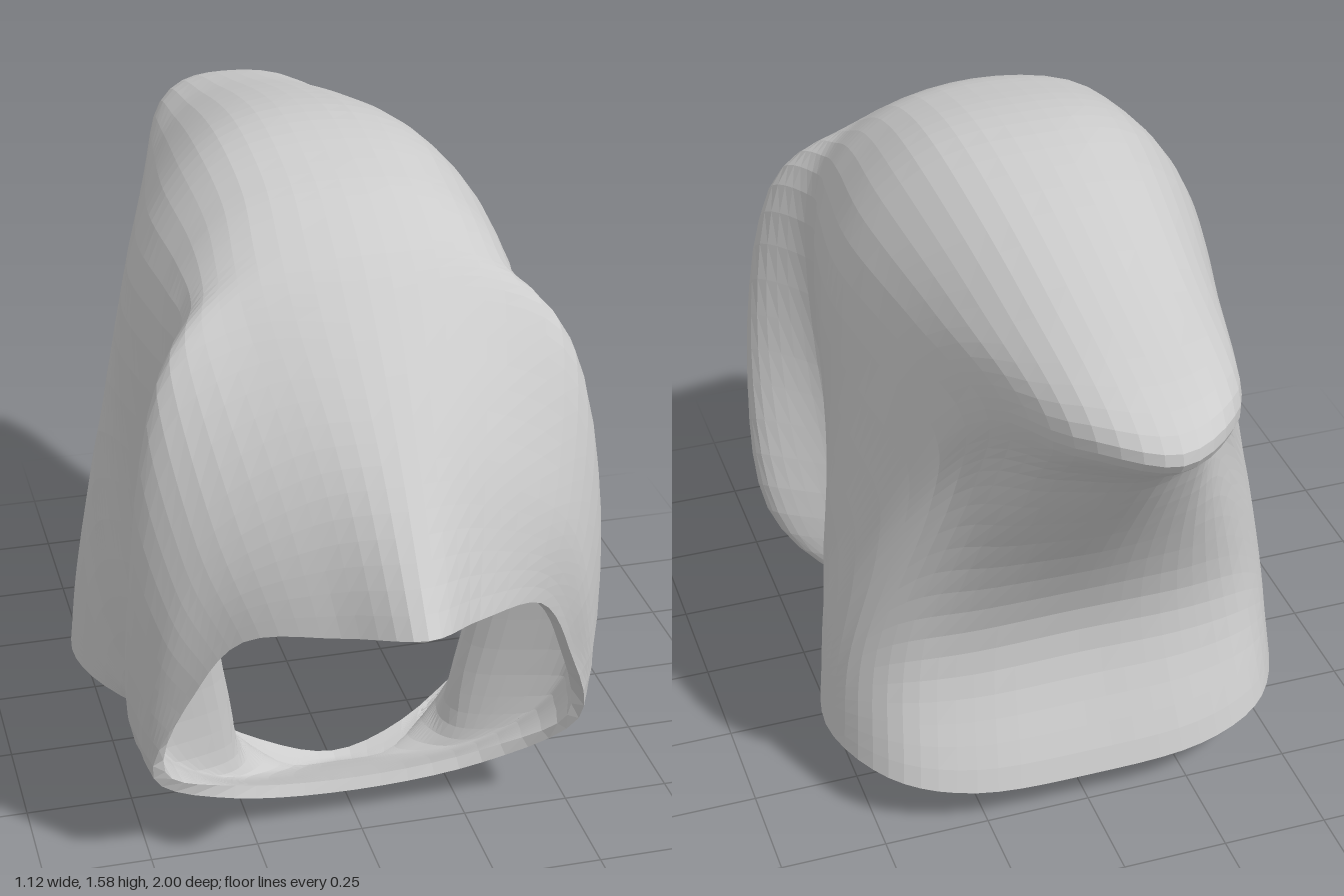
import * as THREE from 'three';

const STEPS = 70; // rings from the face opening to the neck opening
const AROUND = 60; // points in each ring
const THICKNESS = 0.03;

const rail = (points) =>
  new THREE.CatmullRomCurve3(points.map((p) => new THREE.Vector3(...p)), false, 'catmullrom', 0.5);

// Rails run from the face rim, over the hood and its pointed back, to the neck rim.
const crown = rail([
  [0, 0.82, 1], [0, 1.11, 0.77], [0, 1.335, 0.56], [0, 1.47, 0.4], [0, 1.545, 0.22], [0, 1.578, -0.1],
  [0, 1.475, -0.56], [0, 1.32, -1], [0, 1.09, -0.785], [0, 0.52, -0.43], [0, 0.1, -0.525],
]);
const brow = rail([
  [0.15, 0.77, 0.87], [0.2, 1.07, 0.72], [0.26, 1.33, 0.5], [0.26, 1.42, 0.38], [0.25, 1.49, 0.22], [0.25, 1.515, -0.06],
  [0.21, 1.42, -0.5], [0.18, 1.31, -0.86], [0.17, 1.06, -0.69], [0.24, 0.51, -0.42], [0.28, 0.11, -0.515],
]);
const temple = rail([
  [0.33, 0.71, 0.74], [0.41, 0.91, 0.67], [0.46, 1.2, 0.52], [0.39, 1.24, 0.38], [0.405, 1.25, 0.26], [0.425, 1.25, 0.02],
  [0.37, 1.22, -0.26], [0.3, 1.16, -0.5], [0.31, 0.93, -0.46], [0.43, 0.47, -0.36], [0.47, 0.14, -0.43],
]);
const cheek = rail([
  [0.43, 0.53, 0.66], [0.495, 0.62, 0.62], [0.53, 0.77, 0.51], [0.375, 0.75, 0.39], [0.41, 0.76, 0.27], [0.455, 0.75, 0.08],
  [0.49, 0.7, -0.07], [0.5, 0.62, -0.17], [0.52, 0.5, -0.21], [0.545, 0.32, -0.21], [0.56, 0.15, -0.21],
]);
const jaw = rail([
  [0.5, 0.27, 0.56], [0.515, 0.3, 0.51], [0.505, 0.32, 0.43], [0.31, 0.3, 0.33], [0.36, 0.3, 0.23], [0.42, 0.3, 0.14],
  [0.45, 0.28, 0.09], [0.465, 0.25, 0.06], [0.475, 0.22, 0.04], [0.48, 0.18, 0.03], [0.48, 0.145, 0.02],
]);
const chinSide = rail([
  [0.3, 0.12, 0.47], [0.31, 0.09, 0.38], [0.2, 0.06, 0.28], [0.21, 0.065, 0.25], [0.22, 0.075, 0.22], [0.23, 0.085, 0.19],
]);
const chin = rail([
  [0, 0.08, 0.45], [0, 0.045, 0.36], [0, 0.015, 0.29], [0, 0.005, 0.265], [0, 0.005, 0.24], [0, 0.015, 0.215],
]);

// Closed ring through all rails and their mirror images
function ringAt(t) {
  const sides = [brow, temple, cheek, jaw, chinSide].map((r) => r.getPoint(t));
  const mirrored = sides.map((p) => new THREE.Vector3(-p.x, p.y, p.z)).reverse();
  const loop = [crown.getPoint(t), ...sides, chin.getPoint(t), ...mirrored];
  return new THREE.CatmullRomCurve3(loop, true, 'catmullrom', 0.5);
}

function hoodGeometry() {
  const positions = [];
  for (let i = 0; i <= STEPS; i++) {
    const ring = ringAt(i / STEPS);
    for (let j = 0; j < AROUND; j++) positions.push(...ring.getPoint(j / AROUND).toArray());
  }

  // Outer skin
  const index = [];
  const quad = (a, b, c, d) => index.push(a, b, c, a, c, d);
  const at = (i, j) => i * AROUND + (j % AROUND);
  for (let i = 0; i < STEPS; i++) {
    for (let j = 0; j < AROUND; j++) quad(at(i, j), at(i, j + 1), at(i + 1, j + 1), at(i + 1, j));
  }
  const outer = new THREE.BufferGeometry();
  outer.setAttribute('position', new THREE.Float32BufferAttribute(positions, 3));
  outer.setIndex([...index]);
  outer.computeVertexNormals();

  // Lining, set inward along the normals
  const normals = outer.attributes.normal.array;
  const count = positions.length / 3;
  const lining = positions.map((v, k) => v - normals[k] * THICKNESS);
  for (let i = 0; i < STEPS; i++) {
    for (let j = 0; j < AROUND; j++) {
      quad(...[at(i, j), at(i + 1, j), at(i + 1, j + 1), at(i, j + 1)].map((k) => k + count));
    }
  }

  // Rims of the face and neck openings
  for (let j = 0; j < AROUND; j++) {
    const [a, b, c, d] = [at(0, j), at(0, j + 1), at(STEPS, j), at(STEPS, j + 1)];
    quad(a + count, b + count, b, a);
    quad(c, d, d + count, c + count);
  }

  const geometry = new THREE.BufferGeometry();
  geometry.setAttribute('position', new THREE.Float32BufferAttribute([...positions, ...lining], 3));
  geometry.setIndex(index);
  geometry.computeVertexNormals();
  return geometry;
}

export function createModel() {
  const group = new THREE.Group();
  group.name = 'hood';
  const material = new THREE.MeshStandardMaterial({ color: 0xcccccc, flatShading: true, side: THREE.DoubleSide });
  const shell = new THREE.Mesh(hoodGeometry(), material);
  shell.name = 'hoodShell';
  group.add(shell);
  return group;
}
